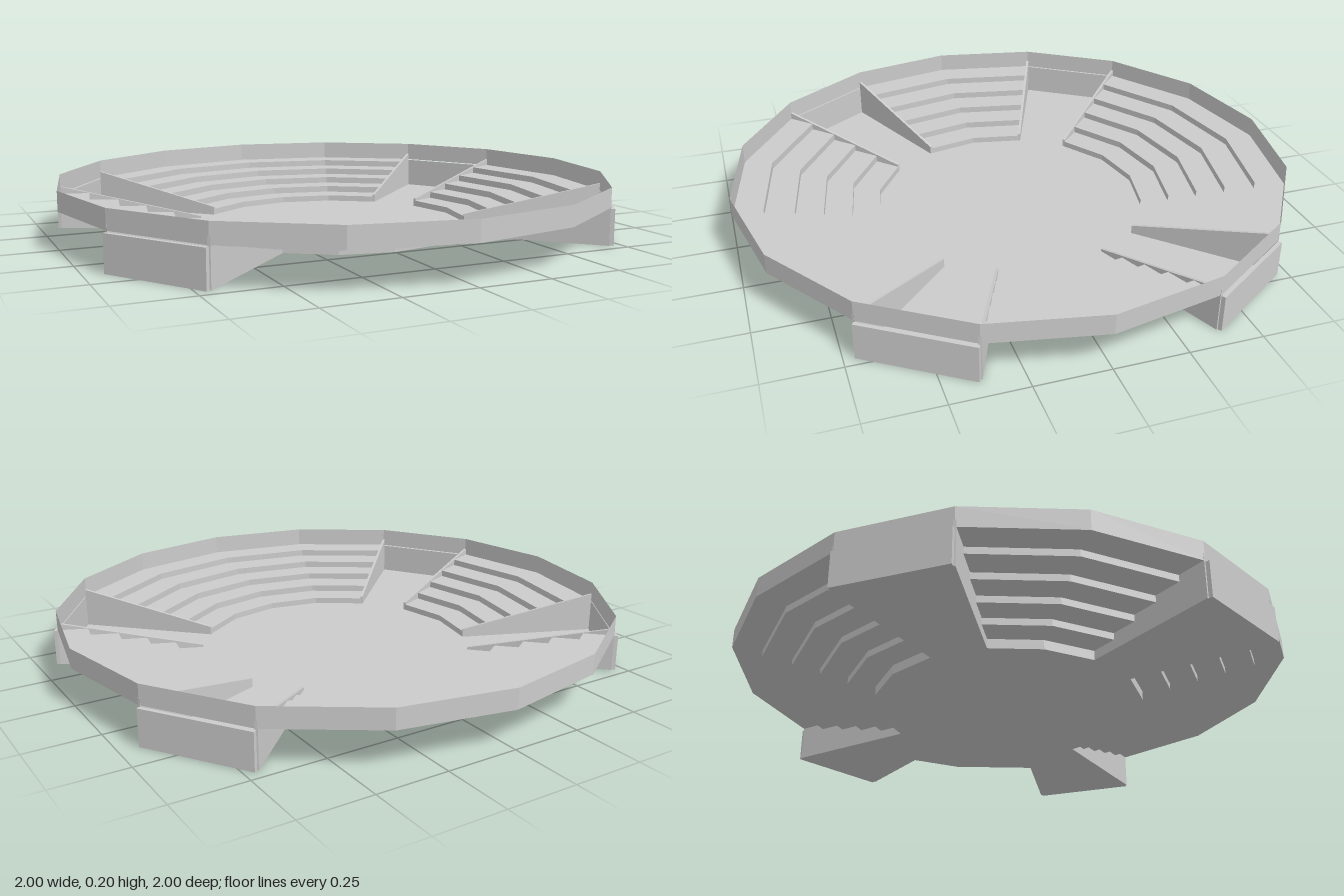
import * as THREE from 'three';

const SIDES = 16;
const STEP = (Math.PI * 2) / SIDES;
const INNER = 0.49;
const FLOOR = 0.012;
const RIM_BASE = 0.13;
const CORRIDORS = [1, 6, 9, 14]; // polygon sides that hold a corridor

export function createModel() {
  const group = new THREE.Group();
  const material = new THREE.MeshStandardMaterial({
    color: 0xcccccc, flatShading: true, side: THREE.DoubleSide,
  });
  const add = (name, geometry) => {
    const mesh = new THREE.Mesh(geometry, material);
    mesh.name = name;
    group.add(mesh);
    return mesh;
  };
  const v = (x, y) => new THREE.Vector2(x, y);
  const polar = (r, k) => v(r * Math.cos(k * STEP), r * Math.sin(k * STEP));

  // Floor: central polygon with four corridors reaching the outer edge
  const outline = [];
  for (let k = 0; k < SIDES; k++) {
    const starts = CORRIDORS.includes(k);
    const ends = CORRIDORS.includes(k - 1);
    if (starts) outline.push(polar(INNER, k), polar(1, k));
    else if (ends) outline.push(polar(1, k), polar(INNER, k));
    else outline.push(polar(INNER, k));
  }
  const floor = new THREE.ExtrudeGeometry(new THREE.Shape(outline), { depth: FLOOR, bevelEnabled: false });
  floor.rotateX(Math.PI / 2).translate(0, FLOOR, 0);
  add('floor', floor);

  // Stepped seating: a thin folded sheet swept round each wedge
  const radii = [INNER, 0.59, 0.69, 0.79, 0.895, 1];
  const profile = [v(INNER, FLOOR)];
  for (let i = 0; i < 5; i++) {
    const y = 0.034 + i * (RIM_BASE - 0.034) / 4;
    profile.push(v(radii[i], y), v(radii[i + 1], y));
  }
  const seating = (name, centre, segments) => add(name, new THREE.LatheGeometry(
    profile, segments, centre - segments * STEP / 2, segments * STEP));
  seating('frontSeating', 0, 4);
  seating('leftSeating', Math.PI / 2, 2);
  seating('backSeating', Math.PI, 4);
  seating('rightSeating', -Math.PI / 2, 2);

  // Outer rim band
  add('rim', new THREE.LatheGeometry([v(1, RIM_BASE), v(1, 0.2)], SIDES));

  // Corridor side walls with tops sloping along the step edges, and end panels
  const thick = 0.01;
  const wall = new THREE.ExtrudeGeometry(
    new THREE.Shape([v(INNER, 0), v(1, 0), v(1, 0.155), v(INNER, 0.042)]),
    { depth: thick, bevelEnabled: false });
  wall.translate(0, 0, -thick / 2);
  const panelThick = 0.014;
  const panel = new THREE.BoxGeometry(panelThick, RIM_BASE - 0.004, 2 * Math.sin(STEP / 2));
  panel.translate(Math.cos(STEP / 2) + panelThick / 2, (RIM_BASE - 0.004) / 2, 0);
  for (const k of CORRIDORS) {
    add('corridorWall', wall).rotation.y = -k * STEP;
    add('corridorWall', wall).rotation.y = -(k + 1) * STEP;
    add('corridorEndPanel', panel).rotation.y = -(k + 0.5) * STEP;
  }
  return group;
}
